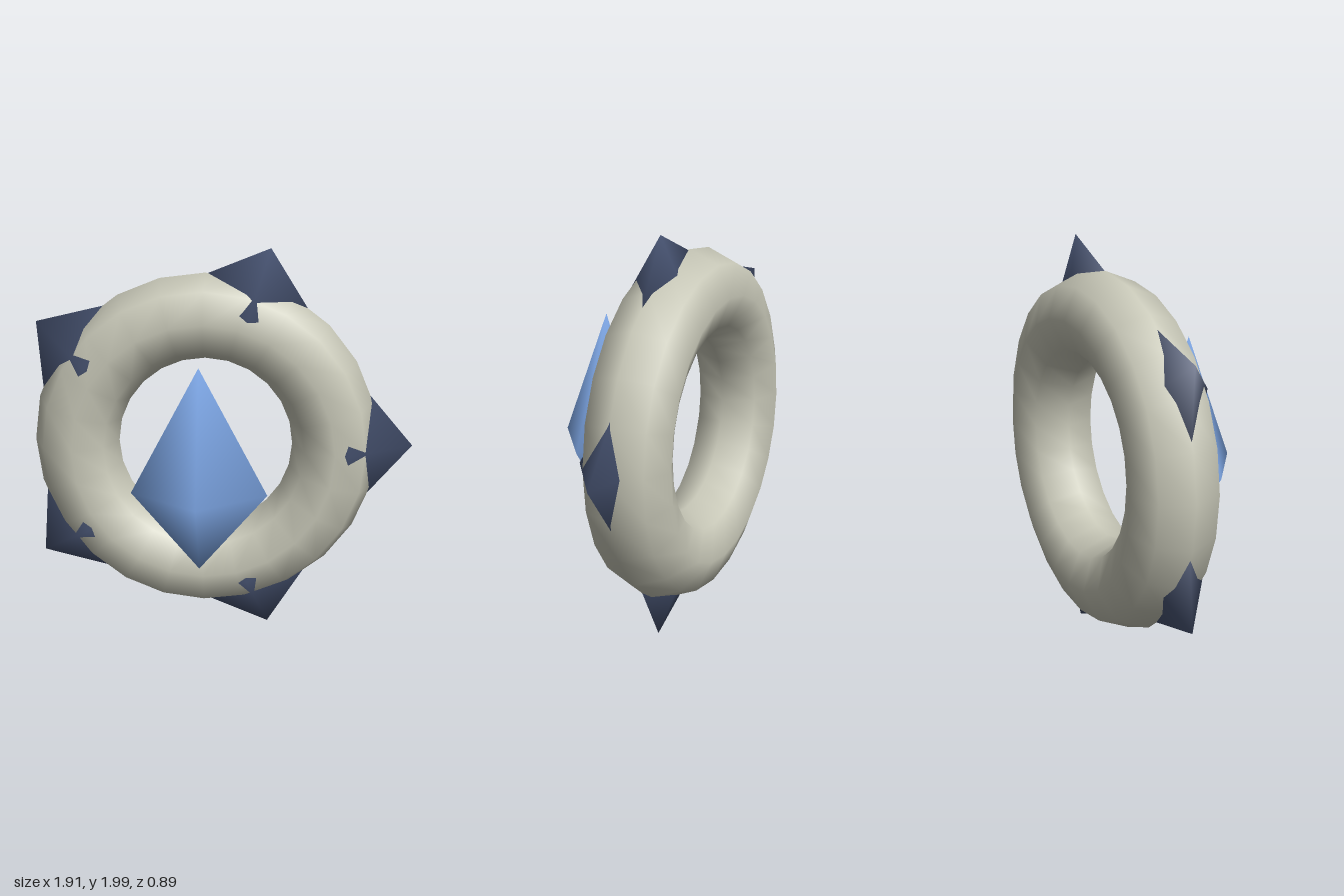
import * as THREE from 'three';
import { mergeVertices } from 'three/addons/utils/BufferGeometryUtils.js';

const material = (color) => new THREE.MeshStandardMaterial({ color });

// Eight-sided crystal with its own reach along each half axis and shared, smooth normals
function crystalGeometry({ right, left, up, down, front, back }) {
  let geo = new THREE.OctahedronGeometry(1);
  geo.deleteAttribute('normal');
  geo.deleteAttribute('uv');
  geo = mergeVertices(geo);
  const p = geo.attributes.position;
  for (let i = 0; i < p.count; i++) {
    const x = p.getX(i), y = p.getY(i), z = p.getZ(i);
    p.setXYZ(i, x * (x > 0 ? right : left), y * (y > 0 ? up : down), z * (z > 0 ? front : back));
  }
  geo.computeVertexNormals();
  return geo;
}

export function createModel() {
  const model = new THREE.Group();
  model.name = 'crystalRing';

  // Ring with its spikes, turned about the ring's centre
  const ringGroup = new THREE.Group();
  ringGroup.name = 'spikedRing';
  ringGroup.position.set(-0.09, 1, -0.23);
  model.add(ringGroup);

  const ring = new THREE.Mesh(new THREE.TorusGeometry(0.655, 0.215, 8, 24), material(0xc8c8b8));
  ring.name = 'ring';
  ringGroup.add(ring);

  // Five spikes sunk into the ring, pointing outwards
  const spikeGeo = crystalGeometry({ right: 0.325, left: 0.2, up: 0.385, down: 0.385, front: 0.213, back: 0.09 });
  const spikeMat = material(0x465270);
  for (let i = 0; i < 5; i++) {
    const a = (i * Math.PI * 2) / 5;
    const spike = new THREE.Mesh(spikeGeo, spikeMat);
    spike.name = `spike${i + 1}`;
    spike.position.set(Math.cos(a) * 0.72, Math.sin(a) * 0.72, 0);
    spike.rotation.z = a;
    ringGroup.add(spike);
  }

  // Floating crystal in front of the opening
  const crystal = new THREE.Mesh(
    crystalGeometry({ right: 0.33, left: 0.33, up: 0.63, down: 0.39, front: 0.23, back: 0.09 }),
    material(0x80aaea)
  );
  crystal.name = 'centreCrystal';
  crystal.position.set(-0.09, 0.88, 0.215);
  model.add(crystal);

  return model;
}
